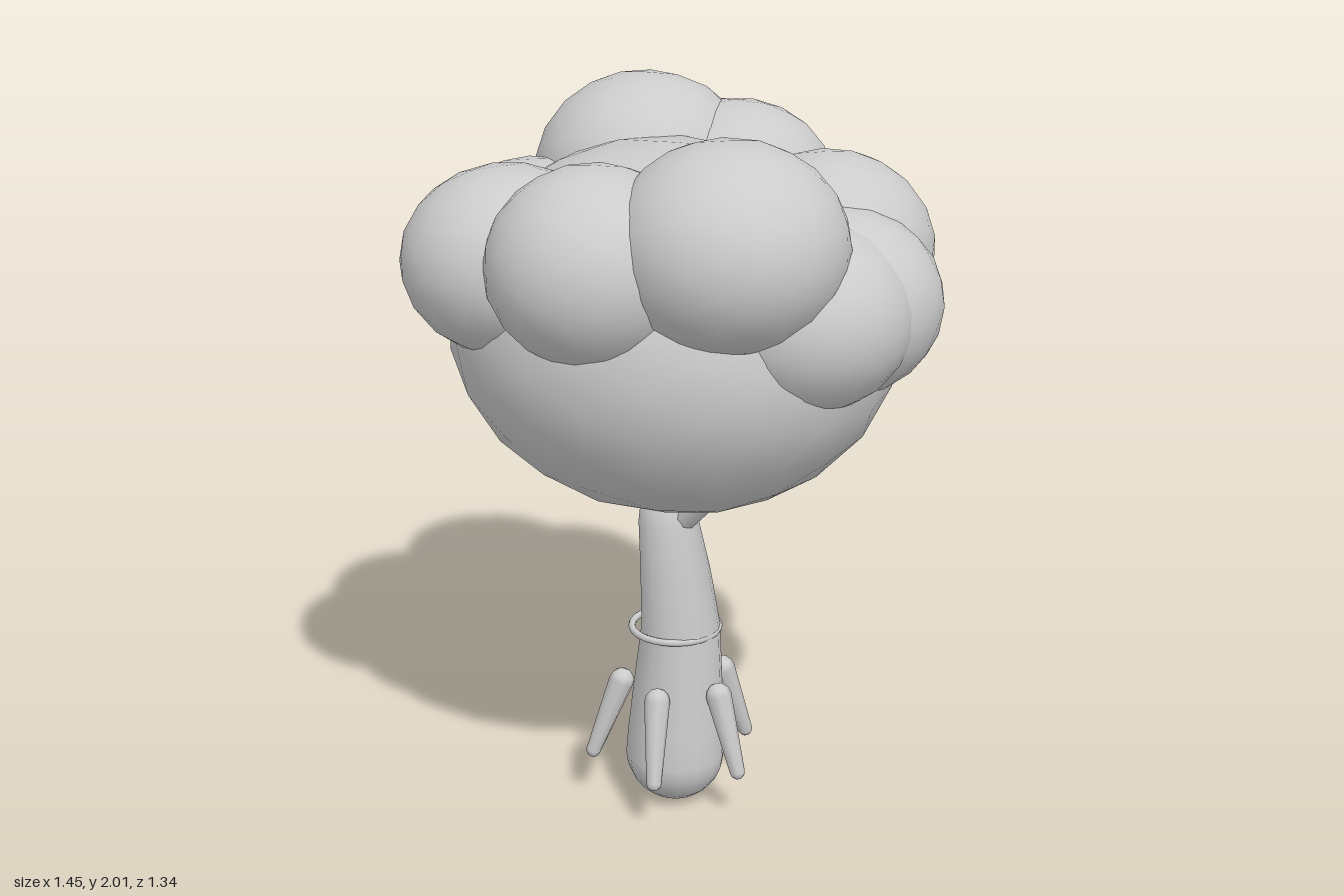
import * as THREE from 'three';

export function createModel() {
  const tree = new THREE.Group();
  tree.name = 'tree';
  const grey = new THREE.MeshStandardMaterial({ color: 0xcccccc });
  grey.name = 'light grey';

  const add = (name, geometry, parent = tree) => {
    const mesh = new THREE.Mesh(geometry, grey);
    mesh.name = name;
    parent.add(mesh);
    return mesh;
  };

  // Coarse, smooth-shaded ellipsoid of leaves
  const leafBall = (name, [x, y, z], [rx, ry, rz], turn, parent) => {
    const geometry = new THREE.IcosahedronGeometry(1, 3);
    geometry.rotateY(turn).scale(rx, ry, rz);
    add(name, geometry, parent).position.set(x, y, z);
  };

  // Tapered limb with rounded ends running between two points
  const limb = (name, from, to, r0, r1, parent) => {
    const a = new THREE.Vector3(...from), b = new THREE.Vector3(...to);
    const length = a.distanceTo(b);
    const profile = [];
    for (let i = 0; i <= 3; i++) {
      const t = (i / 3) * Math.PI / 2;
      profile.push(new THREE.Vector2(r0 * Math.sin(t), -r0 * Math.cos(t)));
    }
    for (let i = 0; i <= 3; i++) {
      const t = (i / 3) * Math.PI / 2;
      profile.push(new THREE.Vector2(r1 * Math.cos(t), length + r1 * Math.sin(t)));
    }
    const mesh = add(name, new THREE.LatheGeometry(profile, 8), parent);
    mesh.position.copy(a);
    mesh.quaternion.setFromUnitVectors(new THREE.Vector3(0, 1, 0), b.sub(a).normalize());
  };

  // Trunk: bulbous base, taper, and a gentle bend in x
  const profile = [];
  for (let i = 0; i <= 6; i++) {
    const t = (i / 6) * Math.PI / 2;
    profile.push(new THREE.Vector2(0.14 * Math.sin(t), 0.14 - 0.14 * Math.cos(t)));
  }
  for (const [r, y] of [[0.135, 0.22], [0.125, 0.36], [0.11, 0.54], [0.097, 0.7], [0.083, 0.84], [0.065, 0.93], [0, 0.96]]) {
    profile.push(new THREE.Vector2(r, y));
  }
  const bend = new THREE.CatmullRomCurve3([
    [0, 0], [0, 0.16], [0.01, 0.36], [0.02, 0.54], [-0.025, 0.84], [-0.04, 0.96],
  ].map(([x, y]) => new THREE.Vector3(x, y, 0)));
  const samples = bend.getPoints(100);
  const trunk = new THREE.LatheGeometry(profile, 16);
  const p = trunk.attributes.position;
  for (let i = 0; i < p.count; i++) {
    const y = p.getY(i);
    const nearest = samples.reduce((m, s) => (Math.abs(s.y - y) < Math.abs(m.y - y) ? s : m));
    p.setX(i, p.getX(i) + nearest.x);
  }
  add('trunk', trunk);

  // Ring around the trunk
  const ring = add('trunkRing', new THREE.TorusGeometry(0.122, 0.01, 8, 24));
  ring.rotation.x = Math.PI / 2;
  ring.position.y = 0.53;

  // Five splayed roots: top x, z and foot x, z
  const roots = new THREE.Group();
  roots.name = 'roots';
  tree.add(roots);
  [
    [0.16, 0, 0.23, 0],
    [0.055, 0.14, 0.1, 0.205],
    [-0.11, 0.105, -0.165, 0.165],
    [-0.12, -0.09, -0.195, -0.135],
    [0.05, -0.145, 0.075, -0.22],
  ].forEach(([tx, tz, fx, fz]) => {
    limb('root', [fx, 0.147, fz], [tx, 0.362, tz], 0.021, 0.036, roots);
  });

  // Branches that carry the crown
  limb('leftBranch', [0.03, 0.86, 0], [0.22, 1.04, 0], 0.036, 0.028);
  limb('rightBranch', [-0.07, 0.88, 0], [-0.22, 1.02, 0], 0.034, 0.026);

  // Crown: one large mass ringed by smaller puffs
  const crown = new THREE.Group();
  crown.name = 'crown';
  tree.add(crown);
  leafBall('crownCore', [-0.01, 1.41, 0], [0.63, 0.495, 0.57], 0, crown);
  [
    [-0.33, 1.735, -0.25, 0.305, 0.27],
    [-0.12, 1.67, -0.39, 0.285, 0.265],
    [0.27, 1.61, -0.3, 0.29, 0.26],
    [0.43, 1.53, -0.14, 0.28, 0.25],
    [0.44, 1.53, 0.01, 0.285, 0.25],
    [0.36, 1.735, 0.21, 0.305, 0.27],
    [0.07, 1.67, 0.39, 0.28, 0.26],
    [-0.26, 1.62, 0.36, 0.285, 0.25],
    [-0.44, 1.55, 0.08, 0.285, 0.255],
  ].forEach(([x, y, z, r, ry], i) => {
    leafBall('leafPuff', [x, y, z], [r, ry, r], i * 0.7, crown);
  });

  return tree;
}
